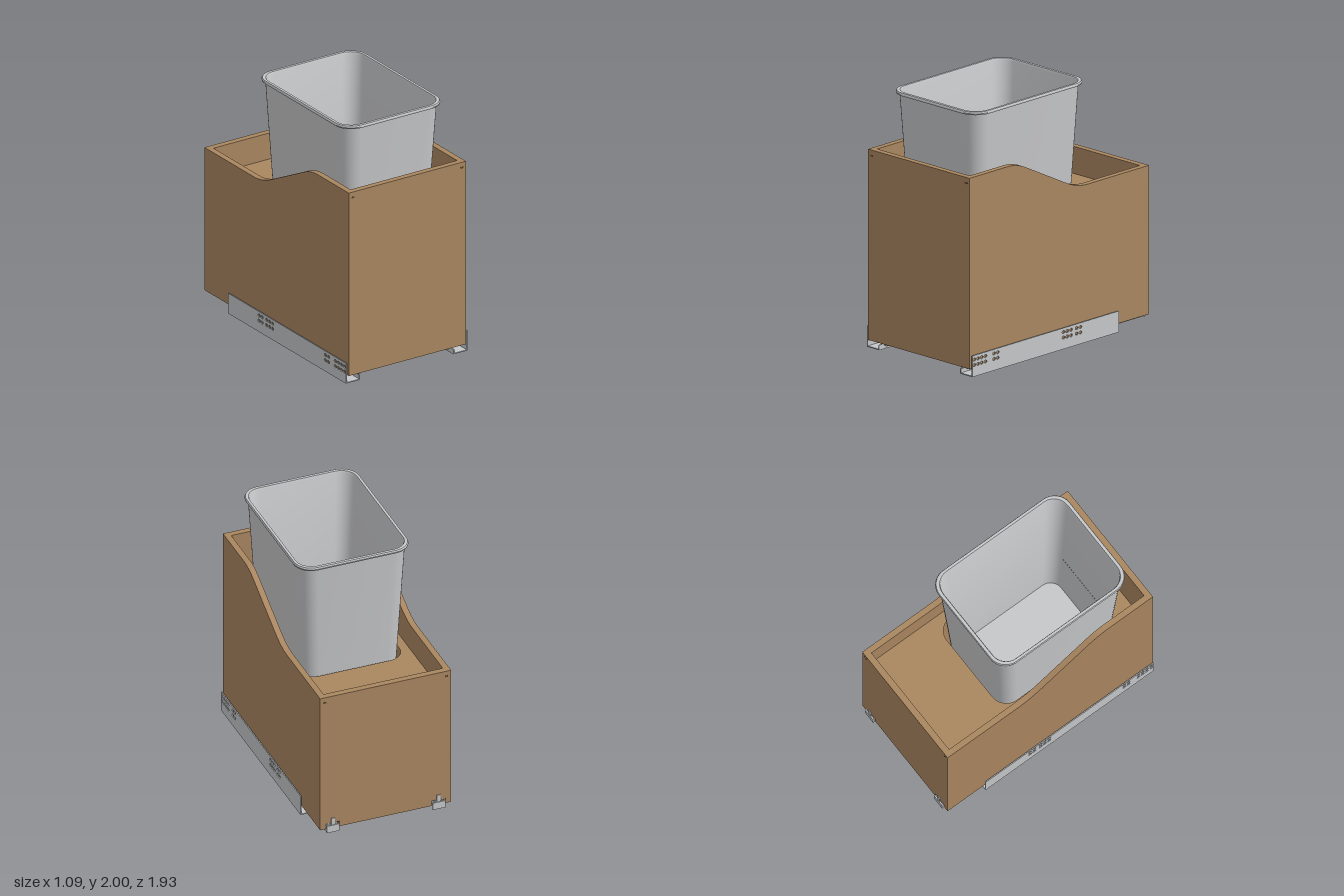
import * as THREE from 'three';
import { toCreasedNormals } from 'three/addons/utils/BufferGeometryUtils.js';

const mat = (name, color, side = THREE.FrontSide) => {
  const m = new THREE.MeshStandardMaterial({ color, side });
  m.name = name;
  return m;
};
const wood = mat('wood', 0xa98660);
const plastic = mat('grey plastic', 0xc6c7c9, THREE.DoubleSide);
const steel = mat('zinc steel', 0xc4c6c8);
const dark = mat('slot shadow', 0x5c4731);

function add(parent, name, geo, material) {
  const m = new THREE.Mesh(geo, material);
  m.name = name;
  parent.add(m);
  return m;
}

// Box given by its two extremes on every axis
function box(parent, name, material, x0, x1, y0, y1, z0, z1) {
  const g = new THREE.BoxGeometry(Math.abs(x1 - x0), y1 - y0, z1 - z0);
  g.translate((x0 + x1) / 2, (y0 + y1) / 2, (z0 + z1) / 2);
  return add(parent, name, g, material);
}

// Shape drawn in (-z, y), thickened from x0 to x1
function sidePlate(shape, x0, x1) {
  const g = new THREE.ExtrudeGeometry(shape, { depth: x1 - x0, bevelEnabled: false, curveSegments: 12 });
  return g.rotateY(Math.PI / 2).translate(x0, 0, 0);
}

// Outline in (x, y), run along z
function alongZ(points, z0, z1) {
  const shape = new THREE.Shape(points.map(([x, y]) => new THREE.Vector2(x, y)));
  return new THREE.ExtrudeGeometry(shape, { depth: z1 - z0, bevelEnabled: false }).translate(0, 0, z0);
}

// Corner points of a rounded rectangle
function roundedRect(hx, z0, z1, r, seg = 8) {
  const pts = [];
  const centres = [[hx - r, z1 - r], [-hx + r, z1 - r], [-hx + r, z0 + r], [hx - r, z0 + r]];
  centres.forEach(([cx, cz], q) => {
    for (let i = 0; i <= seg; i++) {
      const a = (q + i / seg) * Math.PI / 2;
      pts.push([cx + r * Math.cos(a), cz + r * Math.sin(a)]);
    }
  });
  return pts;
}

// Skin over rounded-rectangle rings, closed at both ends
function loft(rings) {
  const pos = [], idx = [];
  let n = 0;
  for (const [hx, z0, z1, r, y] of rings) {
    const ring = roundedRect(hx, z0, z1, r);
    n = ring.length;
    ring.forEach(([x, z]) => pos.push(x, y, z));
  }
  const last = rings.length - 1;
  for (let k = 0; k < last; k++) for (let i = 0; i < n; i++) {
    const a = k * n + i, b = k * n + (i + 1) % n;
    idx.push(a, a + n, b, b, a + n, b + n);
  }
  [0, last].forEach((k) => {
    const [, z0, z1, , y] = rings[k];
    const c = pos.length / 3;
    pos.push(0, y, (z0 + z1) / 2);
    for (let i = 0; i < n; i++) {
      const a = k * n + i, b = k * n + (i + 1) % n;
      if (k === 0) idx.push(c, a, b); else idx.push(c, b, a);
    }
  });
  const g = new THREE.BufferGeometry();
  g.setAttribute('position', new THREE.Float32BufferAttribute(pos, 3));
  g.setIndex(idx);
  return toCreasedNormals(g, 0.55);
}

function makeCabinetBox() {
  const g = new THREE.Group();
  g.name = 'drawerBox';
  const W = 0.527, I = 0.48, zF = 0.965, zB = -0.955;

  // Side panels with the swooping top edge
  const s = new THREE.Shape();
  s.moveTo(-zF, 0.06);
  s.lineTo(-zB, 0.06);
  s.lineTo(-zB, 1.222);
  s.lineTo(0.30, 1.222);
  s.quadraticCurveTo(0.19, 1.222, 0.07, 1.282);
  s.lineTo(-0.36, 1.5);
  s.quadraticCurveTo(-0.457, 1.55, -0.56, 1.55);
  s.lineTo(-zF, 1.55);
  s.closePath();
  add(g, 'leftPanel', sidePlate(s, I, W), wood);
  add(g, 'rightPanel', sidePlate(s, -W, -I), wood);

  box(g, 'frontPanel', wood, -I, I, 0.06, 1.55, 0.917, zF);
  // Back panel is notched for the runners
  const back = [[-I, 0.105], [-0.37, 0.105], [-0.37, 0.06], [0.37, 0.06], [0.37, 0.105], [I, 0.105], [I, 1.222], [-I, 1.222]];
  add(g, 'backPanel', alongZ(back, zB, -0.905), wood);
  box(g, 'floorPanel', wood, -I, I, 0.105, 0.15, -0.905, 0.917);

  // Shelf with the bin opening
  const shelf = new THREE.Shape([[-I, -0.905], [I, -0.905], [I, 0.917], [-I, 0.917]].map(([x, z]) => new THREE.Vector2(x, -z)));
  shelf.holes.push(new THREE.Path(roundedRect(0.41, -0.35, 0.727, 0.13).map(([x, z]) => new THREE.Vector2(x, -z))));
  const sg = new THREE.ExtrudeGeometry(shelf, { depth: 0.045, bevelEnabled: false });
  add(g, 'binShelf', sg.rotateX(-Math.PI / 2).translate(0, 0.965, 0), wood);

  // Small slots near the top corners
  for (const x of [-0.49, 0.49]) {
    box(g, 'frontSlot', dark, x - 0.013, x + 0.013, 1.499, 1.512, zF - 0.002, zF + 0.001);
    box(g, 'backSlot', dark, x - 0.013, x + 0.013, 1.171, 1.184, zB - 0.001, zB + 0.002);
  }
  return g;
}

function makeSlide(s) {
  const g = new THREE.Group();
  g.name = s > 0 ? 'leftSlide' : 'rightSlide';

  // Perforated mounting plate
  const plate = new THREE.Shape([[-0.957, 0], [0.615, 0], [0.615, 0.165], [-0.957, 0.165]].map((p) => new THREE.Vector2(...p)));
  for (const z of [0.935, 0.895, 0.855, 0.815, 0.723, 0.683, -0.02, -0.06, -0.1, -0.16, -0.2]) {
    for (const y of [0.09, 0.133]) plate.holes.push(new THREE.Path().absellipse(-z, y, 0.015, 0.012, 0, Math.PI * 2));
  }
  const x = s > 0 ? 0.539 : -0.547;
  add(g, 'mountingPlate', sidePlate(plate, x, x + 0.008), steel);

  // Bottom flange with its turned-up lip
  const flange = [[0.539, 0], [0.42, 0], [0.42, 0.04], [0.428, 0.04], [0.428, 0.008], [0.539, 0.008]];
  add(g, 'bottomFlange', alongZ(flange.map(([a, b]) => [a * s, b]), -0.615, 0.957), steel);

  // Sliding runner: an inverted channel under the floor, with an inner rail
  const channel = [[0.478, 0.035], [0.478, 0.104], [0.4, 0.104], [0.4, 0.03], [0.408, 0.03], [0.408, 0.096], [0.47, 0.096], [0.47, 0.035]];
  add(g, 'runner', alongZ(channel.map(([a, b]) => [a * s, b]), -0.955, 0.915), steel);
  box(g, 'innerRail', steel, s * 0.425, s * 0.455, 0.03, 0.05, -0.91, 0.9);

  // Rear hook bracket
  box(g, 'rearHookPlate', steel, s * 0.375, s * 0.478, 0.03, 0.09, -0.968, -0.956);
  box(g, 'rearHookTab', steel, s * 0.41, s * 0.44, 0.09, 0.148, -0.963, -0.956);

  // Front locking clip
  box(g, 'frontClip', steel, s * 0.25, s * 0.395, 0.055, 0.105, 0.72, 0.91);
  box(g, 'clipLever', steel, s * 0.385, s * 0.4, 0.027, 0.06, 0.72, 0.91);
  return g;
}

export function createModel() {
  const model = new THREE.Group();
  model.name = 'pulloutBinDrawer';
  model.add(makeCabinetBox(), makeSlide(1), makeSlide(-1));

  // Tapered bin: outside, rolled rim, then inside down to its floor
  add(model, 'wasteBin', loft([
    [0.35, -0.275, 0.695, 0.1, 0.47],
    [0.362, -0.287, 0.707, 0.11, 0.482],
    [0.436, -0.371, 0.8, 0.13, 1.975],
    [0.455, -0.395, 0.823, 0.14, 1.977],
    [0.457, -0.397, 0.825, 0.14, 1.988],
    [0.452, -0.391, 0.82, 0.138, 2],
    [0.432, -0.368, 0.797, 0.126, 2],
    [0.426, -0.361, 0.79, 0.122, 1.985],
    [0.35, -0.275, 0.695, 0.1, 0.49],
  ]), plastic);
  return model;
}
